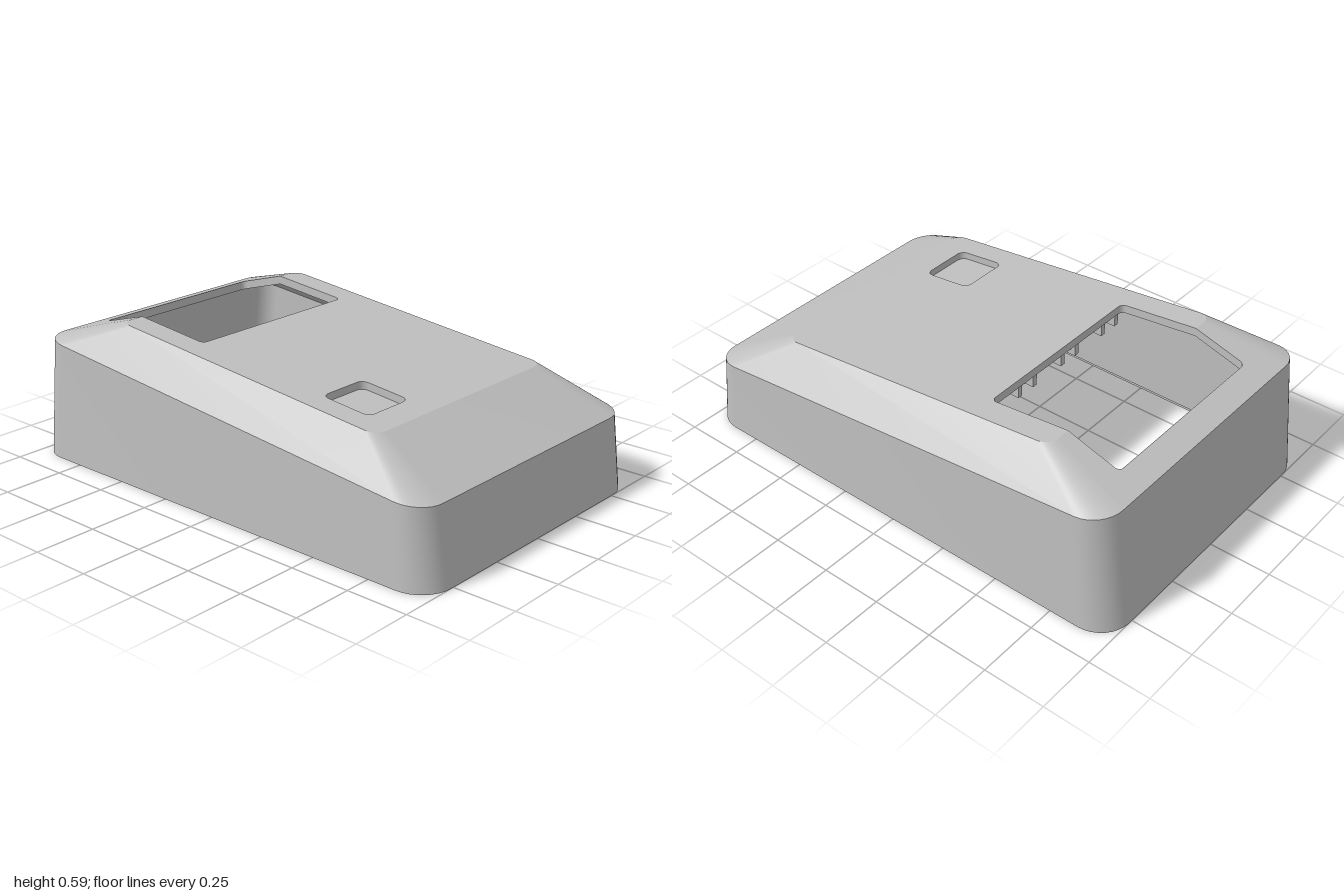
import * as THREE from 'three';
import { toCreasedNormals } from 'three/addons/utils/BufferGeometryUtils.js';

const N = 8; // segments per rounded corner
const grey = new THREE.MeshStandardMaterial({ color: 0xbfbfbf, side: THREE.DoubleSide });
grey.name = 'grey plastic';

const line = (z0, y0, z1, y1) => (z) => y0 + ((z - z0) * (y1 - y0)) / (z1 - z0);
const shift = (fn, d) => (z) => fn(z) + d;

// Rounded rectangle in x/z as [x, z]; starts and ends on the rear edge
function ring(hx, zf, zb, r, cx = 0) {
  const corners = [[hx - r, zb + r], [hx - r, zf - r], [r - hx, zf - r], [r - hx, zb + r]];
  const pts = [];
  corners.forEach(([x, z], c) => {
    for (let i = 0; i <= N; i++) {
      const a = ((c - 1 + i / N) * Math.PI) / 2;
      pts.push([cx + x + r * Math.cos(a), z + r * Math.sin(a)]);
    }
  });
  return pts;
}

// Give a flat ring its height from a rule in z
const lift = (pts, yFn) => pts.map(([x, z]) => [x, yFn(z), z]);

// Skin between rings with equal point counts
function loft(rings, closed = true) {
  const n = rings[0].length;
  const index = [];
  for (let j = 0; j < rings.length - 1; j++) {
    for (let i = 0; i < (closed ? n : n - 1); i++) {
      const a = j * n + i, b = j * n + ((i + 1) % n);
      index.push(a, a + n, b, b, a + n, b + n);
    }
  }
  const g = new THREE.BufferGeometry();
  g.setAttribute('position', new THREE.Float32BufferAttribute(rings.flat(2), 3));
  g.setIndex(index);
  return toCreasedNormals(g, 0.35);
}

// Flat sheet with holes, laid on a slope
function panel(pts, yFn, holes = []) {
  const toV = (list) => list.map(([x, z]) => new THREE.Vector2(x, -z));
  const shape = new THREE.Shape(toV(pts));
  holes.forEach((h) => shape.holes.push(new THREE.Path(toV(h))));
  const g = new THREE.ShapeGeometry(shape);
  const p = g.attributes.position;
  for (let i = 0; i < p.count; i++) {
    const z = -p.getY(i);
    p.setXYZ(i, p.getX(i), yFn(z), z);
  }
  g.computeVertexNormals();
  return g;
}

export function createModel() {
  const model = new THREE.Group();
  const add = (name, geo, parent = model) => {
    const m = new THREE.Mesh(geo, grey);
    m.name = name;
    parent.add(m);
    return m;
  };

  // Slopes of the shoulder line, the plateau and the rear bevel
  const zRear = -0.62;
  const shoulderY = line(0.96, 0.3, -0.945, 0.495);
  const plateauY = line(0.66, 0.455, zRear, 0.59);
  const bevelY = line(zRear, 0.59, -0.945, 0.495);
  const innerPlateauY = shift(plateauY, -0.035);
  const innerBevelY = line(zRear, 0.555, -0.905, shoulderY(-0.905) - 0.02);

  // Window and button recess outlines
  const win = ring(0.395, -0.28, -0.84, 0.022);
  const arc = (c) => win.slice(c * (N + 1), (c + 1) * (N + 1));
  const back = (c) => arc(c).reverse();
  const recess = ring(0.11, 0.545, 0.33, 0.03, -0.29);

  // Plateau and rear bevel, both notched by the window
  function topSheets(name, low, high, yTop, yBevel, holes) {
    const last = low.length - 1;
    add(name + 'Plateau', panel(
      [...high, [-0.395, zRear], ...back(2), ...back(1), [0.395, zRear]], yTop, holes));
    add(name + 'RearBevel', panel(
      [low[0], high[0], [0.395, zRear], ...back(0), ...back(3), [-0.395, zRear], high[last], low[last]], yBevel));
  }

  // Outer shell
  const base = ring(0.645, 1, -1, 0.13);
  const shoulder = ring(0.635, 0.96, -0.945, 0.115);
  const plateau = ring(0.5, 0.66, zRear, 0.05);
  add('outerWalls', loft([lift(shoulder, shoulderY), lift(base, () => 0)]));
  add('outerBevels', loft([lift(plateau, plateauY), lift(shoulder, shoulderY)], false));
  topSheets('outer', shoulder, plateau, plateauY, bevelY, [recess]);

  // Inner shell with a stepped bottom rim
  const innerShoulder = ring(0.595, 0.92, -0.905, 0.08);
  const innerPlateau = ring(0.48, 0.64, zRear, 0.04);
  const lip = ring(0.618, 0.973, -0.973, 0.105);
  const innerBase = ring(0.6, 0.955, -0.955, 0.09);
  const innerShoulderY = shift(shoulderY, -0.02);
  add('bottomRim', loft([lift(base, () => 0), lift(lip, () => 0), lift(lip, () => 0.025), lift(innerBase, () => 0.025)]));
  add('innerWalls', loft([lift(innerBase, () => 0.025), lift(innerShoulder, innerShoulderY)]));
  add('innerBevels', loft([lift(innerShoulder, innerShoulderY), lift(innerPlateau, innerPlateauY)], false));
  topSheets('inner', innerShoulder, innerPlateau, innerPlateauY, innerBevelY, []);

  // Cut edge of the window
  const winLoop = [...arc(0), [0.395, zRear], ...arc(1), ...arc(2), [-0.395, zRear], ...arc(3)];
  const outerY = (z) => Math.min(plateauY(z), bevelY(z));
  const innerY = (z) => Math.min(innerPlateauY(z), innerBevelY(z));
  add('windowEdge', loft([lift(winLoop, innerY), lift(winLoop, outerY)]));

  // Button recess and the backing pad below it
  const floorY = shift(plateauY, -0.03);
  const padY = shift(plateauY, -0.05);
  const pad = ring(0.135, 0.57, 0.305, 0.01, -0.29);
  add('recessWall', loft([lift(recess, floorY), lift(recess, plateauY)]));
  add('recessFloor', panel(recess, floorY));
  add('recessPadEdge', loft([lift(pad, padY), lift(pad, innerPlateauY)]));
  add('recessPad', panel([...pad].reverse(), padY));

  // Screw blocks in the rear corners
  for (const s of [1, -1]) {
    const block = new THREE.Shape();
    block.moveTo(s * 0.615, 0.74);
    block.lineTo(s * 0.615, 0.87);
    block.absarc(s * 0.515, 0.87, 0.1, s > 0 ? 0 : Math.PI, Math.PI / 2, s < 0);
    block.lineTo(s * 0.36, 0.97);
    block.lineTo(s * 0.43, 0.86);
    block.lineTo(s * 0.52, 0.78);
    const hole = new THREE.Path();
    hole.absarc(s * 0.515, 0.87, 0.028, 0, Math.PI * 2, true);
    block.holes.push(hole);
    const g = new THREE.ExtrudeGeometry(block, { depth: 0.14, bevelEnabled: false, curveSegments: 10 });
    add(s > 0 ? 'leftScrewBlock' : 'rightScrewBlock', g.rotateX(-Math.PI / 2).translate(0, 0.006, 0));
  }

  // Screw post under the plateau
  const post = new THREE.Shape().absarc(0, 0, 0.065, 0, Math.PI * 2);
  post.holes.push(new THREE.Path().absarc(0, 0, 0.025, 0, Math.PI * 2, true));
  const postGeo = new THREE.ExtrudeGeometry(post, { depth: 0.11, bevelEnabled: false, curveSegments: 16 });
  add('screwPost', toCreasedNormals(postGeo.rotateX(-Math.PI / 2).translate(-0.17, 0.4, -0.1), 0.5));

  // U-shaped clips: two arms and a bridge
  function clip(name, x, y, z, w, arm, rx) {
    const g = new THREE.Group();
    g.name = name;
    for (const s of [1, -1]) {
      add('clipArm', new THREE.BoxGeometry(0.022, arm, 0.05), g).position.set(s * (w / 2 - 0.011), -arm / 2, 0);
    }
    add('clipBridge', new THREE.BoxGeometry(w, 0.03, 0.02), g).position.set(0, -arm * 0.6, 0);
    g.position.set(x, y, z);
    g.rotation.x = rx;
    model.add(g);
  }
  for (const x of [-0.4, -0.14, 0.12]) clip('ceilingClip', x, 0.515, -0.2, 0.11, 0.11, 0);
  for (const x of [-0.22, 0.22]) clip('frontClip', x, 0.14, 0.96, 0.15, 0.08, Math.PI / 2);

  return model;
}
